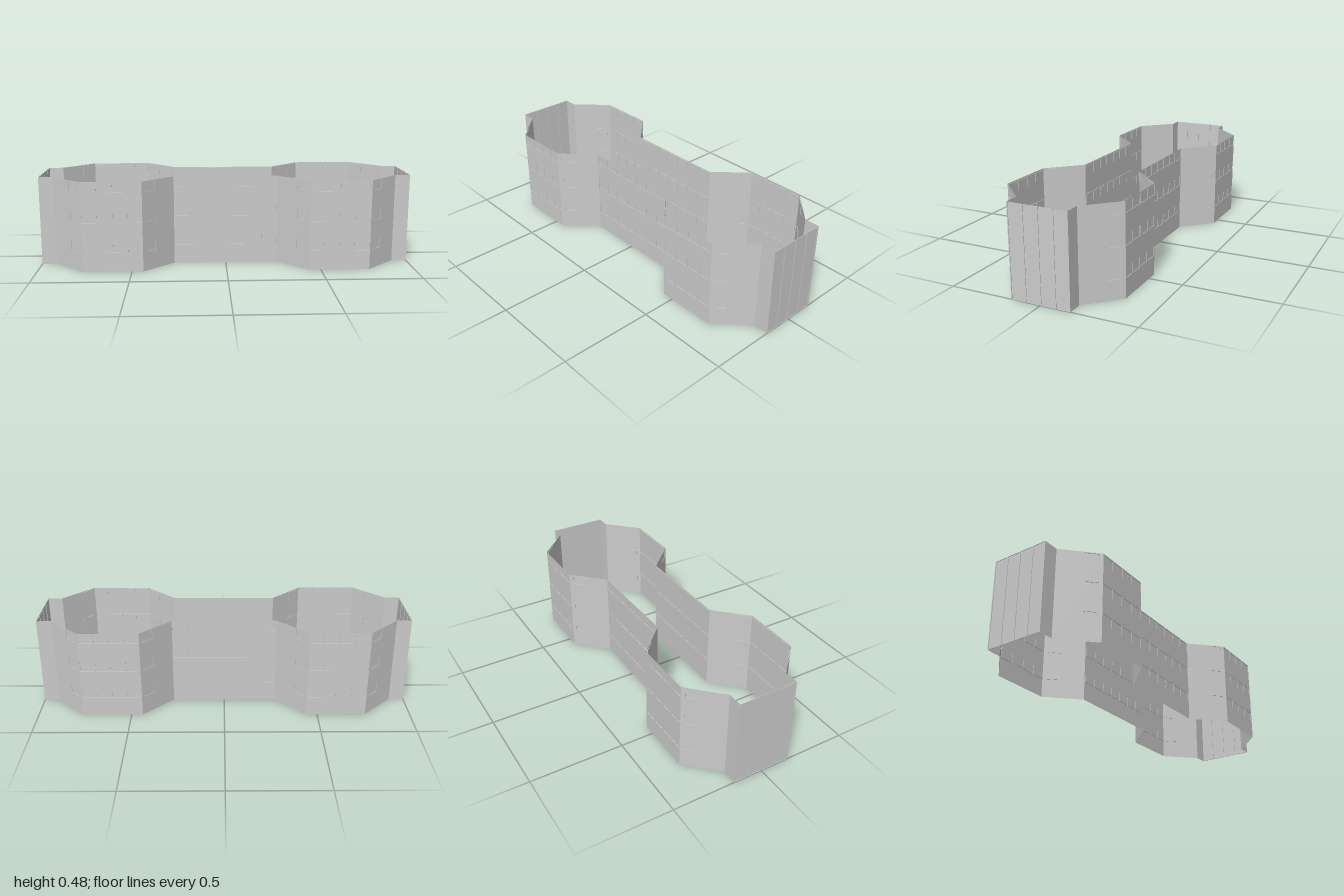
import * as THREE from 'three';

const HEIGHT = 0.48, FLOOR = 0.16, BAY = 0.08, RECESS = 0.003;
const material = new THREE.MeshStandardMaterial({ color: 0xcccccc, side: THREE.DoubleSide, flatShading: true });

// Shallow tray set into an opening: pane and reveals, open at the front
function paneGeometry([x0, x1, y0, y1]) {
  const geo = new THREE.BoxGeometry(x1 - x0, y1 - y0, RECESS);
  const index = Array.from(geo.index.array);
  index.splice(24, 6); // drop the outward face
  geo.setIndex(index);
  geo.clearGroups();
  return geo.translate((x0 + x1) / 2, (y0 + y1) / 2, -RECESS / 2);
}

// One flat wall from plan point a to b with recessed openings
function makeWall(name, a, b, openings) {
  const wall = new THREE.Group();
  wall.name = name;
  const length = Math.hypot(b[0] - a[0], b[1] - a[1]);
  const rect = (Kind, [x0, x1, y0, y1]) => new Kind([
    new THREE.Vector2(x0, y0), new THREE.Vector2(x1, y0),
    new THREE.Vector2(x1, y1), new THREE.Vector2(x0, y1)]);
  const shape = rect(THREE.Shape, [0, length, 0, HEIGHT]);
  for (const o of openings) shape.holes.push(rect(THREE.Path, o));
  const sheet = new THREE.Mesh(new THREE.ShapeGeometry(shape), material);
  sheet.name = 'wallSheet';
  wall.add(sheet);
  for (const o of openings) {
    const pane = new THREE.Mesh(paneGeometry(o), material);
    pane.name = 'windowPane';
    wall.add(pane);
  }
  wall.position.set(a[0], 0, a[1]);
  wall.rotation.y = Math.atan2(a[1] - b[1], b[0] - a[0]);
  return wall;
}

// Three storeys of windows over the given horizontal spans
const storeys = spans => [0, 1, 2].flatMap(f =>
  spans.map(([x0, x1]) => [x0, x1, f * FLOOR + 0.103, f * FLOOR + 0.155]));
// A row of equal bays
const bays = n => Array.from({ length: n }, (_, i) => [i * BAY + 0.005, (i + 1) * BAY - 0.005]);

export function createModel() {
  const model = new THREE.Group();
  model.name = 'building';
  const diagonal = 0.16 * Math.SQRT2;
  const nearStart = storeys([[0.021, 0.09]]);
  const nearEnd = storeys([[diagonal - 0.09, diagonal - 0.021]]);
  const endPanels = bays(4).map(([x0, x1]) => [x0, x1, 0.001, HEIGHT - 0.001]);

  // Half of the plan outline, from the left end of the front round to the right end
  const half = [
    ['returnWall', [-1, 0.16], [-0.92, 0.16], []],
    ['angledWall', [-0.92, 0.16], [-0.76, 0.32], nearEnd],
    ['pavilionWall', [-0.76, 0.32], [-0.44, 0.32], storeys(bays(4))],
    ['angledWall', [-0.44, 0.32], [-0.28, 0.16], nearStart],
    ['centreWall', [-0.28, 0.16], [0.28, 0.16], storeys(bays(7))],
    ['angledWall', [0.28, 0.16], [0.44, 0.32], nearEnd],
    ['pavilionWall', [0.44, 0.32], [0.76, 0.32], storeys(bays(4))],
    ['angledWall', [0.76, 0.32], [0.92, 0.16], nearStart],
    ['returnWall', [0.92, 0.16], [1, 0.16], []],
    ['endWall', [1, 0.16], [1, -0.16], endPanels],
  ];

  // The back is the front turned half way round
  for (const side of ['front', 'back']) {
    const group = new THREE.Group();
    group.name = side + 'Half';
    for (const args of half) group.add(makeWall(...args));
    if (side === 'back') group.rotation.y = Math.PI;
    model.add(group);
  }
  return model;
}
